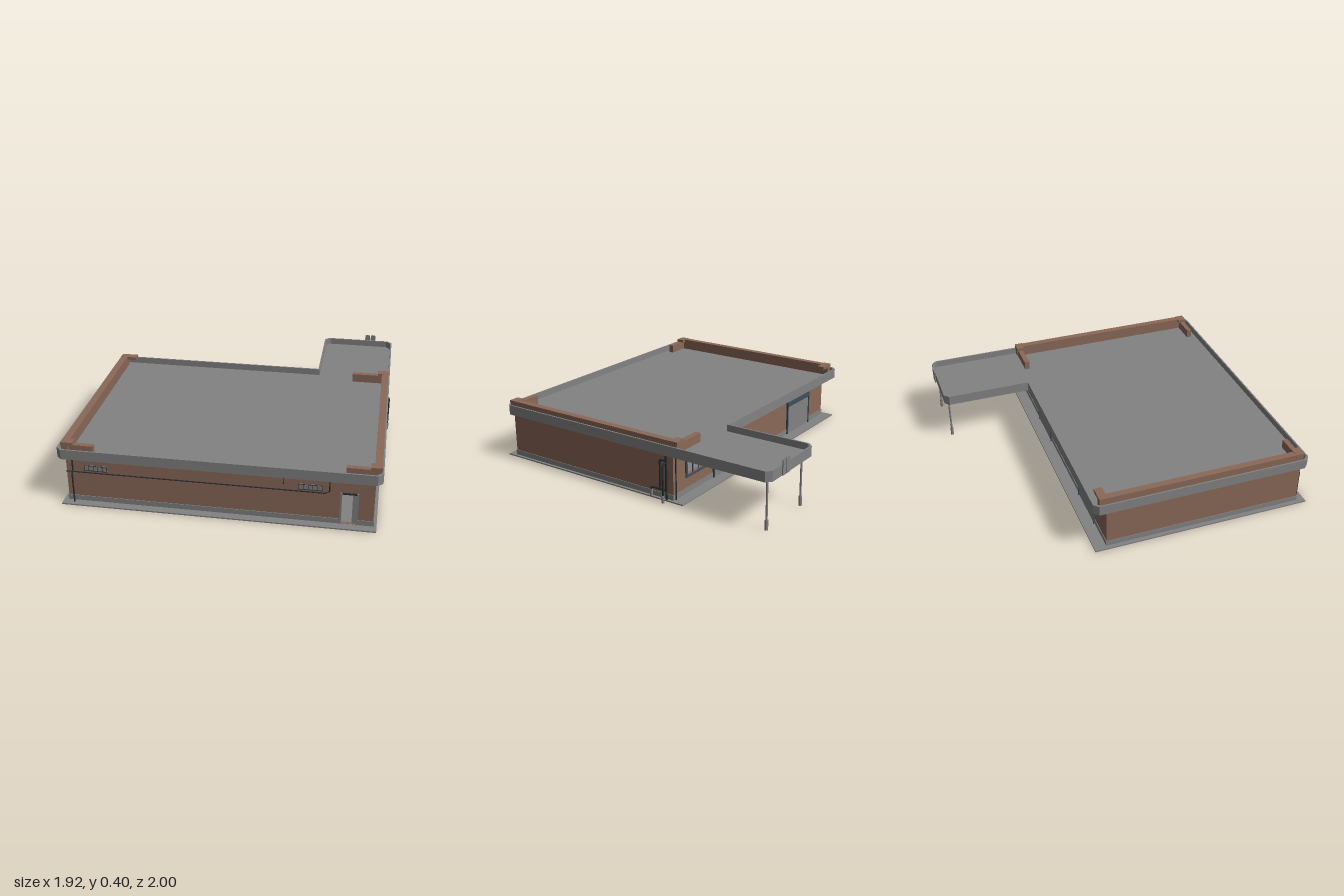
import * as THREE from 'three';

const mat = (name, color, side = THREE.FrontSide) => {
  const m = new THREE.MeshStandardMaterial({ color, side });
  m.name = name;
  return m;
};

export function createModel() {
  const brown = mat('brown wall', 0x8a6858);
  const gray = mat('concrete gray', 0x828282);
  const dark = mat('dark pipe', 0x262c30);
  const blue = mat('blue gray frame', 0x40505a);
  const model = new THREE.Group();
  model.name = 'garageBuilding';

  const add = (name, geo, material) => {
    const m = new THREE.Mesh(geo, material);
    m.name = name;
    model.add(m);
    return m;
  };
  // Box given by its limits on each axis
  const box = (name, material, x0, x1, y0, y1, z0, z1) => {
    const m = add(name, new THREE.BoxGeometry(x1 - x0, y1 - y0, z1 - z0), material);
    m.position.set((x0 + x1) / 2, (y0 + y1) / 2, (z0 + z1) / 2);
    return m;
  };
  const rectPath = (Kind, x0, x1, y0, y1) =>
    new Kind([[x0, y0], [x1, y0], [x1, y1], [x0, y1]].map(p => new THREE.Vector2(...p)));
  // Upright wall facing z with rectangular openings
  const wall = (name, material, x0, x1, y0, y1, z, depth, holes) => {
    const s = rectPath(THREE.Shape, x0, x1, y0, y1);
    s.holes = holes.map(h => rectPath(THREE.Path, ...h));
    const g = new THREE.ExtrudeGeometry(s, { depth, bevelEnabled: false });
    return add(name, g.translate(0, 0, z), material);
  };
  // Pipe with short rounded bends through the given points
  const pipe = (name, r, pts, material = dark) => {
    const v = pts.map(p => new THREE.Vector3(...p));
    const path = new THREE.CurvePath();
    let from = v[0];
    for (let i = 1; i < v.length; i++) {
      if (i === v.length - 1) { path.add(new THREE.LineCurve3(from, v[i])); break; }
      const a = v[i].clone().add(v[i - 1].clone().sub(v[i]).setLength(0.014));
      const b = v[i].clone().add(v[i + 1].clone().sub(v[i]).setLength(0.014));
      path.add(new THREE.LineCurve3(from, a));
      path.add(new THREE.QuadraticBezierCurve3(a, v[i], b));
      from = b;
    }
    add(name, new THREE.TubeGeometry(path, 48, r, 8), material);
  };
  const cyl = (name, material, r, x, y0, y1, z) => {
    const m = add(name, new THREE.CylinderGeometry(r, r, y1 - y0, 12), material);
    m.position.set(x, (y0 + y1) / 2, z);
  };

  // Ground slab
  box('groundSlab', gray, -0.94, 0.92, 0, 0.008, -0.4, 1);

  // Walls with door and window openings
  const frontDoor = [0.715, 0.8, 0.009, 0.21];
  const backWindow = [0.52, 0.77, 0.12, 0.21];
  const garageDoors = [[-0.695, -0.41], [0.215, 0.49]];
  wall('frontWall', brown, -0.91, 0.9, 0.008, 0.297, 0.925, 0.02, [frontDoor]);
  wall('backWall', brown, -0.91, 0.9, 0.008, 0.297, -0.32, 0.02, [backWindow]);
  wall('backWallLining', gray, -0.89, 0.88, 0.008, 0.297, -0.3, 0.004, [backWindow]);
  box('leftWall', brown, 0.88, 0.9, 0.008, 0.297, -0.3, 0.925);
  box('rightWall', brown, -0.91, -0.89, 0.008, 0.297, -0.3, 0.925);

  // Concrete base course, left out at the doors
  for (const [a, b] of [[-0.914, 0.705], [0.81, 0.904]])
    box('frontBase', gray, a, b, 0.008, 0.04, 0.945, 0.949);
  for (const [a, b] of [[-0.914, -0.705], [-0.4, 0.205], [0.5, 0.904]])
    box('backBase', gray, a, b, 0.008, 0.04, -0.324, -0.32);
  for (const x of [-0.914, 0.9]) box('sideBase', gray, x, x + 0.004, 0.008, 0.04, -0.32, 0.945);

  // Front door frame and open leaf
  for (const x of [0.705, 0.8]) box('doorJamb', gray, x, x + 0.01, 0.008, 0.215, 0.92, 0.954);
  box('doorHead', dark, 0.715, 0.8, 0.207, 0.215, 0.92, 0.954);
  box('doorLeaf', gray, 0.776, 0.8, 0.012, 0.207, 0.93, 0.942);

  // Rear garage doors
  for (const [a, b] of garageDoors) {
    box('garageDoor', gray, a, b, 0.008, 0.205, -0.327, -0.32);
    box('garageLintel', blue, a - 0.008, b + 0.008, 0.205, 0.236, -0.335, -0.32);
    for (const x of [a - 0.008, b]) box('garageJamb', blue, x, x + 0.008, 0.008, 0.205, -0.333, -0.32);
  }

  // Rear window frame
  wall('windowFrame', blue, 0.508, 0.782, 0.108, 0.222, -0.33, 0.012, [backWindow]);
  for (const x of [0.58, 0.64, 0.7]) box('windowMullion', blue, x, x + 0.005, 0.12, 0.21, -0.32, -0.314);

  // Front vents with dark slots
  for (const x of [-0.8, 0.465]) {
    box('ventPlate', gray, x, x + 0.138, 0.217, 0.251, 0.945, 0.95);
    for (let i = 0; i <= 5; i++)
      box('ventBar', dark, x + i * 0.027, x + i * 0.027 + 0.003, 0.217, 0.251, 0.95, 0.952);
    for (const y of [0.216, 0.249]) box('ventEdge', dark, x, x + 0.138, y, y + 0.003, 0.95, 0.952);
  }

  // Roof outline with cut corners, drawn as (x, -z)
  const outline = (t, Kind) => {
    const l = -0.96 + t, r = 0.94 - t, f = -0.975 + t, b = 0.41 - t, e = 0.985 - t, n = 0.45 + t, c = 0.03;
    return new Kind([[l + c, f], [r - c, f], [r, f + c], [r, e - c], [r - c, e], [n + c, e],
      [n, e - c], [n, b], [l + c, b], [l, b - c], [l, f + c]].map(p => new THREE.Vector2(...p)));
  };
  const flat = (name, shape, y, h) => add(name,
    new THREE.ExtrudeGeometry(shape, { depth: h, bevelEnabled: false }).rotateX(-Math.PI / 2).translate(0, y, 0), gray);
  flat('roofDeck', outline(0.006, THREE.Shape), 0.296, 0.02);
  const rim = outline(0, THREE.Shape);
  rim.holes.push(outline(0.01, THREE.Path));
  flat('roofFascia', rim, 0.295, 0.063);

  // Brown parapet beams along both sides, with return arms at the corners
  box('parapetRight', brown, -0.935, -0.893, 0.315, 0.388, -0.37, 0.94);
  box('parapetLeft', brown, 0.887, 0.93, 0.315, 0.388, -0.37, 0.94);
  box('cornerBlock', brown, -0.937, -0.83, 0.37, 0.39, -0.372, -0.322);
  box('cornerBlock', brown, 0.86, 0.932, 0.37, 0.39, -0.374, -0.322);
  box('cornerBlock', brown, -0.937, -0.865, 0.37, 0.39, 0.888, 0.942);
  box('cornerBlock', brown, 0.865, 0.932, 0.37, 0.39, 0.888, 0.942);
  box('parapetArm', brown, -0.89, -0.745, 0.316, 0.371, 0.9, 0.932);
  box('parapetArm', brown, 0.73, 0.89, 0.316, 0.371, 0.9, 0.932);
  box('parapetArm', brown, 0.69, 0.89, 0.316, 0.371, -0.366, -0.332);

  // Canopy posts on thicker footings
  for (const x of [0.53, 0.905]) {
    cyl('canopyPost', gray, 0.006, x, 0.05, 0.297, -0.95);
    cyl('postFooting', gray, 0.01, x, 0, 0.06, -0.95);
  }

  // Pair of rounded tabs on the canopy edge
  for (const x of [0.745, 0.785]) {
    const s = new THREE.Shape();
    s.moveTo(x, 0.3).lineTo(x + 0.034, 0.3).lineTo(x + 0.034, 0.385);
    s.quadraticCurveTo(x + 0.034, 0.396, x + 0.017, 0.396);
    s.quadraticCurveTo(x, 0.396, x, 0.385);
    add('canopyTab', new THREE.ExtrudeGeometry(s, { depth: 0.006, bevelEnabled: false }).translate(0, 0, -0.996), gray);
  }

  // Conduits on the front
  pipe('frontConduit', 0.0035, [[-0.912, 0.203, 0.949], [0.643, 0.203, 0.949], [0.643, 0.285, 0.949]]);
  pipe('upperConduit', 0.0035, [[-0.912, 0.284, 0.949], [0.9, 0.284, 0.949]]);
  pipe('conduitDrop', 0.002, [[0.38, 0.284, 0.949], [0.38, 0.24, 0.949]]);
  pipe('frontDownpipe', 0.005, [[-0.87, 0.295, 0.952], [-0.87, 0.215, 0.952], [-0.87, 0.2, 0.97], [-0.87, 0, 0.97]]);

  // Pipework on the left side near the rear corner
  pipe('sideDownpipe', 0.007, [[0.911, 0, -0.278], [0.911, 0.296, -0.278]]);
  pipe('sideLoop', 0.006, [[0.913, 0.25, -0.278], [0.913, 0.25, -0.235], [0.913, 0.065, -0.235]]);
  pipe('sideLowerPipe', 0.006, [[0.913, 0.065, -0.278], [0.913, 0.065, -0.17], [0.913, 0, -0.17]]);
  pipe('standPipe', 0.006, [[0.905, 0.237, -0.28], [0.947, 0.237, -0.28], [0.947, 0.01, -0.28]]);
  cyl('standPipeFoot', gray, 0.009, 0.947, 0, 0.045, -0.28);
  cyl('pipeFoot', gray, 0.009, 0.913, 0.008, 0.05, -0.17);

  // Rear conduit and downpipe
  pipe('rearConduit', 0.0035, [[-0.912, 0.284, -0.325], [0.9, 0.284, -0.325]]);
  pipe('rearDownpipe', 0.004, [[0.885, 0.284, -0.329], [0.885, 0.008, -0.329]]);

  return model;
}
